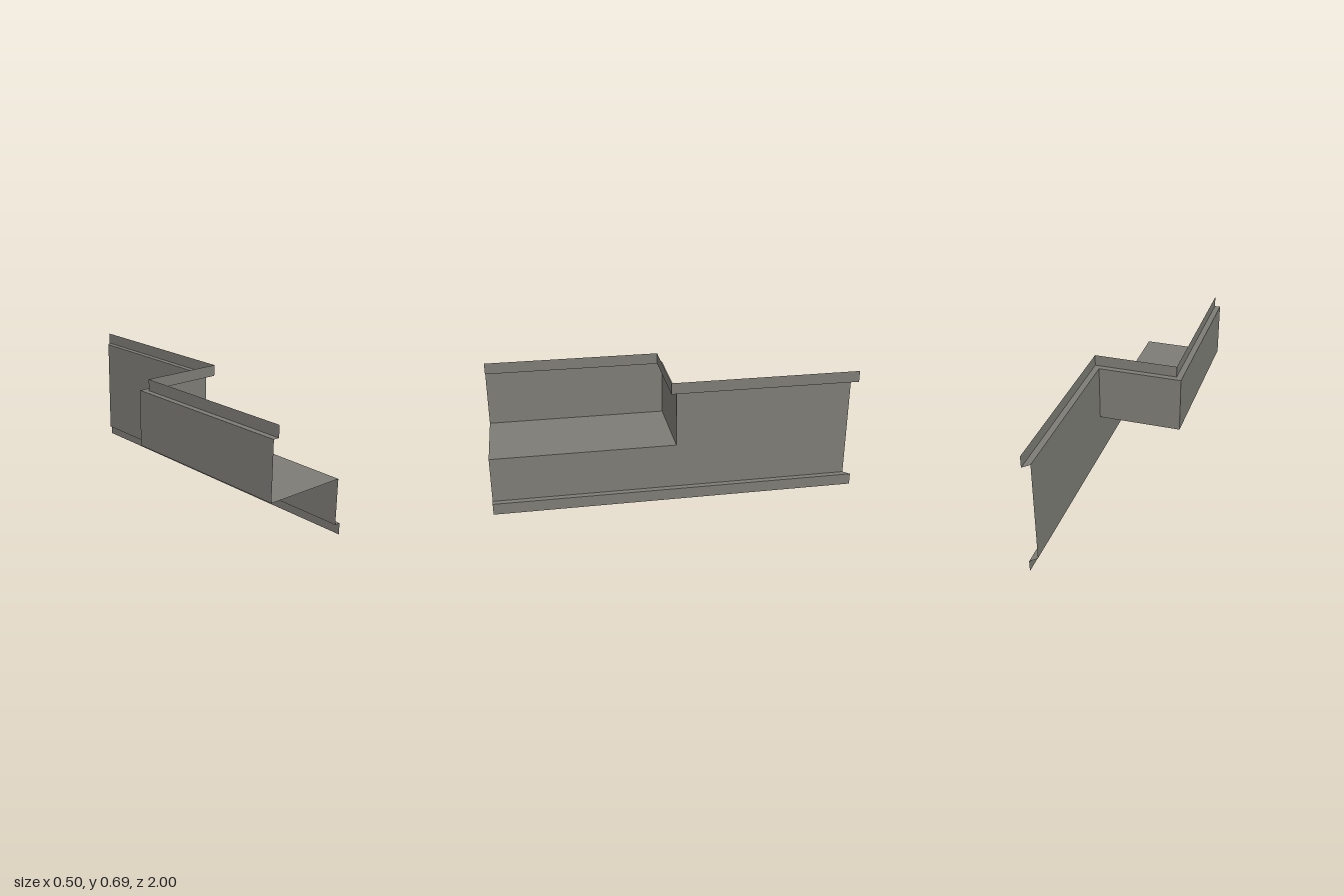
import * as THREE from 'three';

export function createModel() {
  const group = new THREE.Group();
  const grey = new THREE.MeshStandardMaterial({ color: 0x7d7c76, side: THREE.DoubleSide });
  grey.name = 'warm grey';

  const low = 0.063, shelfY = 0.3135, high = 0.6265, top = 0.689;

  const add = (name, geometry) => {
    const mesh = new THREE.Mesh(geometry, grey);
    mesh.name = name;
    group.add(mesh);
    return mesh;
  };

  // Flat quads joining two [x, z] paths, each at its own height
  const ribbon = (name, pathA, yA, pathB, yB) => {
    const pos = [];
    for (let i = 0; i < pathA.length - 1; i++) {
      const a = [pathA[i][0], yA, pathA[i][1]], b = [pathA[i + 1][0], yA, pathA[i + 1][1]];
      const c = [pathB[i + 1][0], yB, pathB[i + 1][1]], d = [pathB[i][0], yB, pathB[i][1]];
      pos.push(...a, ...b, ...c, ...a, ...c, ...d);
    }
    const g = new THREE.BufferGeometry();
    g.setAttribute('position', new THREE.Float32BufferAttribute(pos, 3));
    g.computeVertexNormals();
    return add(name, g);
  };

  // Wall line and the rim line stepped out from it, mitred at the back end
  const wall = [[-0.25, 1], [-0.25, 0], [0.217, 0], [0.217, -0.967]];
  const rim = [[-0.217, 1], [-0.217, 0.033], [0.25, 0.033], [0.25, -1]];
  const wallFoot = [[0.217, 1], [0.217, -0.967]];
  const rimFoot = [[0.25, 1], [0.25, -1]];

  // Recess walls and its floor
  ribbon('recessWalls', wall.slice(0, 3), shelfY, wall.slice(0, 3), high);
  ribbon('recessFloor', [[-0.25, 1], [-0.25, 0]], shelfY, [[0.217, 1], [0.217, 0]], shelfY);

  // Long stepped side panel, drawn as [-z, y] and turned to face +x
  const outline = [[-1, low], [0.967, low], [0.967, high], [0, high], [0, shelfY], [-1, shelfY]];
  const shape = new THREE.Shape(outline.map(p => new THREE.Vector2(...p)));
  const panel = new THREE.ShapeGeometry(shape);
  panel.rotateY(Math.PI / 2);
  panel.translate(0.217, 0, 0);
  add('sidePanel', panel);

  // Upper ledge and rim strip
  ribbon('upperLedge', wall, high, rim, high);
  ribbon('upperRim', rim, high, rim, top);

  // Lower ledge and skirting strip
  ribbon('lowerLedge', wallFoot, low, rimFoot, low);
  ribbon('lowerRim', rimFoot, 0, rimFoot, low);

  return group;
}
